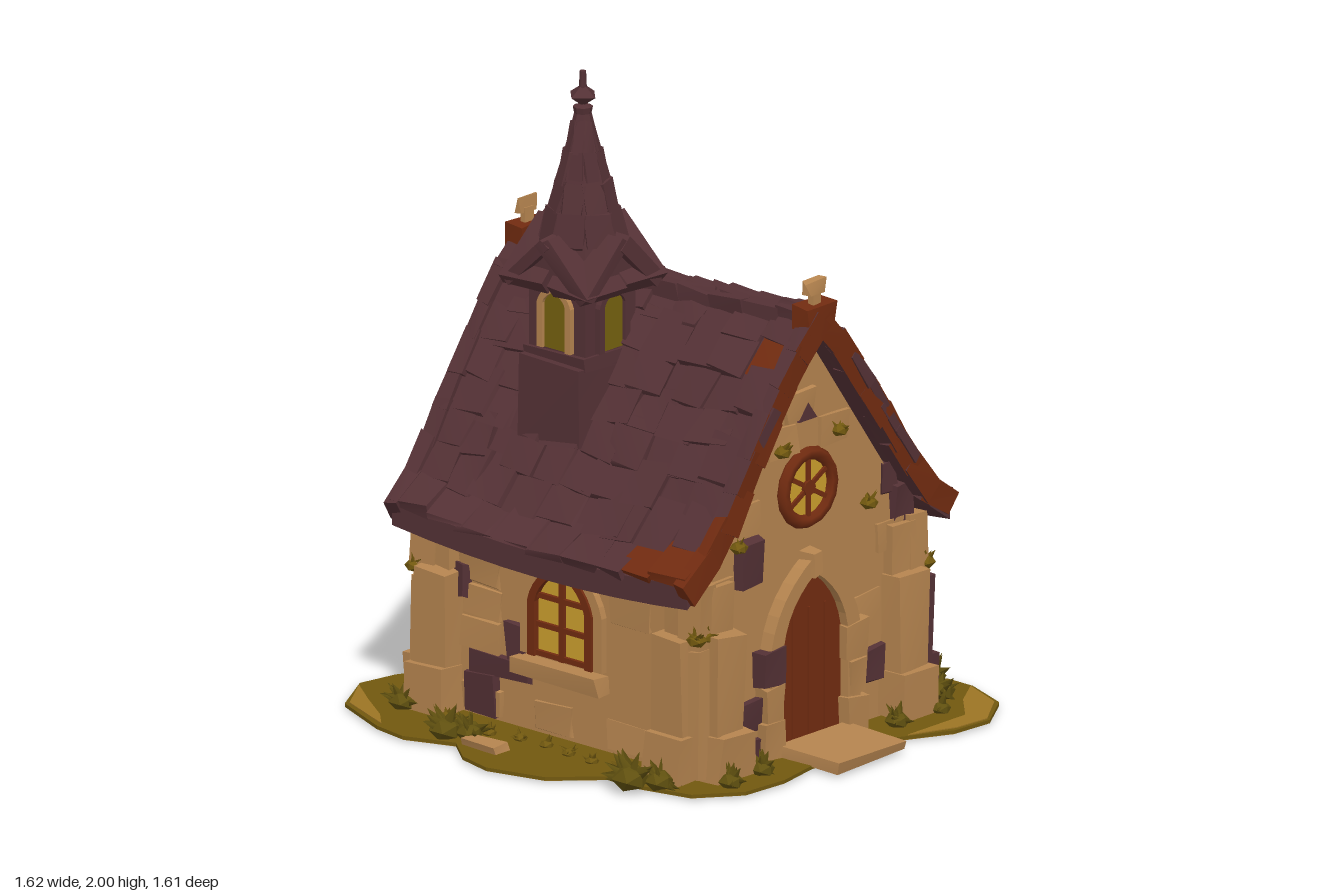
import * as THREE from 'three';

const paint = (name, color) => {
  const m = new THREE.MeshStandardMaterial({ color });
  m.name = name;
  return m;
};

export function createModel() {
  const stone = paint('tan stone', 0xb5844f), plum = paint('plum slate', 0x543135);
  const wood = paint('red brown wood', 0x712b10), glass = paint('amber glass', 0xcb9f2d);
  const grass = paint('olive grass', 0x71580f), leaf = paint('dark leaf', 0x60500f);
  const dry = paint('dry grass', 0x9c7424), dim = paint('dim glass', 0x75610f);
  const model = new THREE.Group();
  model.name = 'chapel';

  let seed = 7;
  const rnd = () => (seed = (seed * 16807) % 2147483647) / 2147483647;
  const vary = (a) => (rnd() - 0.5) * 2 * a;

  const add = (parent, name, geo, mat, x = 0, y = 0, z = 0) => {
    const m = new THREE.Mesh(geo, mat);
    m.name = name;
    m.position.set(x, y, z);
    parent.add(m);
    return m;
  };
  const group = (name, parent = model) => {
    const g = new THREE.Group();
    g.name = name;
    parent.add(g);
    return g;
  };
  // box whose eight corners are nudged, like hand-cut stone
  const rough = (w, h, d, j = 0.008) => {
    const geo = new THREE.BoxGeometry(w, h, d), p = geo.attributes.position;
    const off = Array.from({ length: 8 }, () => [vary(j), vary(j), vary(j)]);
    for (let i = 0; i < p.count; i++) {
      const o = off[(p.getX(i) > 0) + 2 * (p.getY(i) > 0) + 4 * (p.getZ(i) > 0)];
      p.setXYZ(i, p.getX(i) + o[0], p.getY(i) + o[1], p.getZ(i) + o[2]);
    }
    geo.computeVertexNormals();
    return geo;
  };
  const extrude = (shape, depth, steps = 1) =>
    new THREE.ExtrudeGeometry(shape, { depth, steps, bevelEnabled: false, curveSegments: 8 });
  const poly = (pts) => new THREE.Shape(pts.map((p) => new THREE.Vector2(p[0], p[1])));

  // pointed arch outlines
  const archPoints = (w, spring, h) => {
    const s = new THREE.Shape();
    s.moveTo(-w, 0);
    s.lineTo(-w, spring);
    s.quadraticCurveTo(-w * 0.85, spring + (h - spring) * 0.62, 0, h);
    s.quadraticCurveTo(w * 0.85, spring + (h - spring) * 0.62, w, spring);
    s.lineTo(w, 0);
    return s.getPoints(6);
  };
  const arch = (w, s, h) => new THREE.Shape(archPoints(w, s, h));
  const archBand = (w, s, h, t) =>
    new THREE.Shape([...archPoints(w + t, s, h + t), ...archPoints(w, s, h).reverse()]);

  // clump of broad pointed leaves
  const clump = (parent, name, x, y, z, r, n, mat = leaf) => {
    const g = group(name, parent);
    g.position.set(x, y, z);
    add(g, 'clumpCore', new THREE.IcosahedronGeometry(r * 0.65, 0), mat).scale.y = 0.7;
    for (let i = 0; i < n; i++) {
      const cone = new THREE.ConeGeometry(r * 0.36, r * 1.05, 4).scale(1, 1, 0.5).translate(0, r * 0.5, 0);
      add(g, 'leaf', cone, mat).rotation.set(vary(1.2), rnd() * 6, vary(1.2));
    }
  };

  // lawn
  const lawn = [[-.81, 0], [-.76, .19], [-.62, .33], [-.63, .45], [-.59, .62], [-.46, .72], [-.3, .73], [-.15, .7],
    [.2, .7], [.38, .79], [.52, .8], [.66, .71], [.72, .55], [.72, .45], [.6, .33], [.75, .19], [.81, 0], [.78, -.1],
    [.68, -.22], [.74, -.35], [.74, -.43], [.65, -.55], [.48, -.68], [.36, -.74], [.15, -.68], [-.06, -.62],
    [-.2, -.7], [-.35, -.78], [-.48, -.805], [-.65, -.71], [-.74, -.5], [-.76, -.38], [-.7, -.22], [-.78, -.12]];
  const flat = (pts, depth, k = 1) =>
    extrude(poly(pts.map(([x, z]) => [x * k, -z * k])), depth).rotateX(-Math.PI / 2);
  add(model, 'lawn', flat(lawn, 0.011), grass, 0, 0.004, 0);
  add(model, 'lawnUnderside', flat(lawn, 0.004, 0.995), dry, 0, 0.002, 0);
  const shade = lawn.map(([x, z], i) => [x * (i % 5 < 2 ? 0.58 : 0.74), z * (i % 5 < 2 ? 0.58 : 0.74)]);
  add(model, 'undersideCentre', flat(shade, 0.004), grass);
  for (const pts of [[[.25, .72], [.4, .78], [.52, .79], [.65, .7], [.71, .55], [.6, .62], [.5, .72]],
    [[-.72, -.5], [-.64, -.7], [-.5, -.79], [-.58, -.68], [-.66, -.56]],
    [[.72, .16], [.74, .18], [.8, 0], [.76, -.1], [.76, .02]]])
    add(model, 'dryGrassPatch', flat(pts, 0.005), dry, 0, 0.013, 0);
  add(model, 'doorstep', rough(0.3, 0.035, 0.24), stone, 0, 0.028, 0.68);
  for (const s of [-1, 1]) add(model, 'steppingStone', rough(0.06, 0.03, 0.14), stone, s * 0.675, 0.025, -0.13);

  // gabled hall
  const hall = poly([[-.46, .01], [.46, .01], [.46, .64], [.4, .72], [0, 1.29], [-.4, .72], [-.46, .64]]);
  add(model, 'hallWalls', extrude(hall, 1.07), stone, 0, 0, -0.535);

  // roof: flared slope, sagging along the ridge
  const sag = (z) => 0.035 * (1 - (z / 0.6) ** 2);
  const slope = [[0, 1.36], [.1, 1.25], [.2, 1.11], [.3, .97], [.4, .82], [.49, .715], [.575, .655]];
  const under = slope.map(([x, y]) => [x, y - 0.075]);
  const flip = (a) => a.slice(1).reverse().map(([x, y]) => [-x, y]);
  const roofGeo = extrude(poly([...flip(slope), ...slope, ...under.slice(1).reverse(), under[0],
    ...flip(under).reverse()]), 1.18, 8).translate(0, 0, -0.59);
  const rp = roofGeo.attributes.position;
  for (let i = 0; i < rp.count; i++) rp.setY(i, rp.getY(i) - sag(rp.getZ(i)));
  roofGeo.computeVertexNormals();
  const roof = group('roof');
  add(roof, 'roofSlab', roofGeo, plum);
  const curve = new THREE.CatmullRomCurve3(slope.map(([x, y]) => new THREE.Vector3(x, y, 0)));
  const onSlope = (name, geo, mat, s, t, z, dy, tilt = 0) => {
    const p = curve.getPointAt(t), d = curve.getTangentAt(t);
    const m = add(roof, name, geo, mat, s * p.x, p.y + dy - sag(z), z);
    m.rotation.z = s * (Math.atan2(d.y, d.x) + tilt);
  };
  const faced = [plum, plum, plum, plum, wood, plum];
  for (const s of [-1, 1]) {
    for (let r = 0; r < 8; r++) for (let c = 0; c < 9; c++) {
      const z = Math.max(-0.52, Math.min(0.52, -0.53 + c * 0.1325 + vary(0.04)));
      const worn = s < 0 && ((r === 7 && c > 6) || (r === 1 && c === 8));
      onSlope('shingle', rough(0.15, 0.022, 0.14, 0.012), worn ? wood : plum, s, 0.06 + r * 0.124, z, 0.008, 0.07);
    }
    // bargeboards: timber faces in front, slate edges
    for (const end of [-1, 1]) for (let i = 0; i < 8; i++) {
      const solid = end > 0 ? (s < 0 && i > 5) : (s > 0 && i === 2);
      const mat = solid ? wood : end > 0 ? faced : plum;
      onSlope('bargeboard', rough(0.145, 0.075, 0.05, 0.007), mat, s, 0.06 + i * 0.124, end * 0.58, -0.02);
    }
    // slate lip above the front boards, half way down
    for (const i of s > 0 ? [2, 3, 4, 5] : [3])
      onSlope('slateLip', rough(0.14, 0.03, 0.05, 0.006), plum, s, 0.06 + i * 0.124, 0.583, 0.01);
  }
  for (let i = 0; i < 9; i++) {
    const z = -0.53 + i * 0.1325;
    add(roof, 'ridgeCap', rough(0.1, 0.05, 0.14), plum, 0, 1.355 - sag(z), z);
  }
  for (const s of [-1, 1]) {
    add(roof, 'ridgeEnd', rough(0.12, 0.08, 0.06), wood, 0, 1.35, s * 0.575);
    add(roof, 'finialStem', rough(0.035, 0.06, 0.018, 0.003), stone, 0, 1.405, s * 0.575);
    add(roof, 'finialHead', rough(0.08, 0.045, 0.018, 0.008), stone, 0, 1.44, s * 0.575);
  }

  // front and back gables share one layout, facing +z
  const makeGable = (name, front) => {
    const g = group(name);
    if (!front) g.rotation.y = Math.PI;
    add(g, 'door', extrude(arch(0.14, 0.34, 0.54), 0.02), wood, 0, 0.015, 0.53);
    for (const x of [-0.07, 0, 0.07]) add(g, 'doorBatten', new THREE.BoxGeometry(0.008, 0.42, 0.008), wood, x, 0.23, 0.551);
    add(g, 'doorArch', extrude(archBand(0.14, 0.34, 0.54, 0.055), 0.05), stone, 0, 0.012, 0.53);
    for (const s of [-1, 1]) for (let i = 0; i < 3; i++)
      add(g, 'jambStone', rough(i % 2 ? 0.065 : 0.09, 0.11, 0.06), front && s < 0 && i === 2 ? plum : stone, s * 0.18, 0.07 + i * 0.115, 0.555);
    add(g, 'keystone', rough(0.05, 0.07, 0.06), stone, 0, 0.58, 0.56);

    // rose window
    add(g, 'roseGlass', new THREE.CylinderGeometry(0.105, 0.105, 0.01, 20).rotateX(Math.PI / 2), glass, 0, 0.81, 0.54);
    add(g, 'roseRing', new THREE.TorusGeometry(0.106, 0.021, 6, 16), wood, 0, 0.81, 0.545);
    for (let i = 0; i < 3; i++)
      add(g, 'roseBar', new THREE.BoxGeometry(0.014, 0.21, 0.012), wood, 0, 0.81, 0.547).rotation.z = i * Math.PI / 3;
    add(g, 'roseHub', new THREE.CylinderGeometry(0.025, 0.025, 0.02, 8).rotateX(Math.PI / 2), wood, 0, 0.81, 0.547);
    add(g, 'gableVent', extrude(poly([[-.04, 0], [.04, 0], [0, .055]]), 0.009), plum, 0, 1.02, 0.54);

    // raised wall stones
    for (let y = 0.07; y < 1.15; y += 0.1) for (let x = -0.39; x < 0.4; x += 0.13) {
      const px = x + vary(0.03);
      const clear = Math.hypot(px, y - 0.81) > 0.19 && (Math.abs(px) > 0.26 || y > 0.66);
      if (clear && Math.abs(px) < (1.18 - y) * 0.68 && rnd() < 0.65)
        add(g, 'wallStone', rough(0.125, 0.09, 0.03), stone, px, y, 0.532);
    }
    const patches = [[-.28, .16, .15, .1], [.27, .19, .13, .1], [-.25, .64, .11, .13], [-.31, .78, .07, .1],
      [-.27, .06, .12, .06], [.41, .66, .08, .13], [.36, .75, .06, .1]];
    for (const [x, y, w, h] of patches.slice(front ? 0 : 5))
      add(g, 'slateStone', rough(w, h, 0.035, 0.012), plum, x, y, 0.538);
    const ivy = [[-.31, .7], [.26, .7], [.13, .96], [-.46, .46], [.47, .44], [-.12, .95]];
    for (const [x, y] of ivy.slice(front ? 0 : 3)) clump(g, 'ivy', x, y, 0.555, 0.045, 5, grass);
  };
  makeGable('frontGable', true);
  makeGable('backGable', false);

  // stepped buttresses, two at each corner
  for (const sx of [-1, 1]) for (const sz of [-1, 1]) {
    const g = group('cornerButtress');
    [[0.15, 0.14, 0.135], [0.125, 0.3, 0.11], [0.1, 0.15, 0.07]].reduce((y, [w, h, d], i) => {
      const side = sx < 0 || (sz < 0 && i === 2) ? stone : plum;
      add(g, 'endPier', rough(w, h, d), stone, sx * 0.4, y + h / 2, sz * (0.5 + d / 2));
      add(g, 'sidePier', rough(d, h, w), side, sx * (0.43 + d / 2), y + h / 2, sz * 0.475);
      return y + h;
    }, 0.018);
    const low = sx > 0 && sz > 0 ? plum : stone;
    add(g, 'cornerStone', rough(0.09, 0.4, 0.09, 0.01), low, sx * 0.465, 0.22, sz * 0.53);
    add(g, 'cornerStone', rough(0.09, 0.2, 0.09, 0.01), stone, sx * 0.46, 0.52, sz * 0.53);
  }

  // side walls with arched windows
  for (const s of [-1, 1]) {
    const g = group(s > 0 ? 'leftSide' : 'rightSide');
    g.rotation.y = s * Math.PI / 2;
    add(g, 'windowGlass', extrude(arch(0.105, 0.17, 0.29), 0.01), glass, 0, 0.26, 0.46);
    add(g, 'windowFrame', extrude(archBand(0.1, 0.17, 0.28, 0.028), 0.03), wood, 0, 0.26, 0.46);
    add(g, 'windowArch', extrude(archBand(0.128, 0.17, 0.308, 0.035), 0.022), stone, 0, 0.26, 0.46);
    add(g, 'windowMullion', new THREE.BoxGeometry(0.02, 0.28, 0.016), wood, 0, 0.4, 0.474);
    for (const y of [0.27, 0.36, 0.45]) add(g, 'windowBar', new THREE.BoxGeometry(0.2, 0.016, 0.016), wood, 0, y, 0.474);
    add(g, 'windowSill', rough(0.34, 0.05, 0.07), stone, 0, 0.225, 0.48);
    for (let y = 0.07; y < 0.6; y += 0.1) for (let x = -0.34; x < 0.36; x += 0.15)
      if ((Math.abs(x) > 0.22 || y < 0.17) && rnd() < 0.6)
        add(g, 'wallStone', rough(0.15, 0.09, 0.02), stone, x + vary(0.015), y, 0.46);
    for (const [x, y, w, h] of [[.25, .19, .24, .07], [.19, .27, .07, .13], [.32, .09, .12, .12], [.41, .42, .06, .1]])
      add(g, 'slateStone', rough(w, h, 0.03, 0.01), plum, x * s, y, 0.464);
    clump(g, 'ivy', -0.56 * s, 0.46, 0.5, 0.05, 6, grass);
    clump(g, 'ivy', 0.57 * s, 0.44, 0.5, 0.045, 6, grass);
  }

  // bell tower
  const tower = group('bellTower');
  tower.position.set(-0.21, 0, -0.16);
  const sides = [stone, plum, plum, plum, plum, stone];
  add(tower, 'towerFoot', rough(0.26, 0.24, 0.26, 0.012), sides, -0.02, 1.0, 0);
  add(tower, 'towerShaft', rough(0.22, 0.46, 0.22, 0.006), sides, 0, 1.18, 0);
  add(tower, 'towerLedge', rough(0.25, 0.04, 0.25), plum, 0, 1.13, 0);
  for (let i = 0; i < 4; i++) {
    const g = group('towerFace', tower);
    g.rotation.y = i * Math.PI / 2;
    add(g, 'belfryGlass', extrude(arch(0.045, 0.14, 0.18), 0.009), dim, 0, 1.16, 0.109);
    add(g, 'belfryTrim', extrude(archBand(0.045, 0.14, 0.18, 0.022), 0.02), i === 0 ? plum : stone, 0, 1.16, 0.109);
    add(g, 'gableFill', extrude(poly([[-.14, 0], [.14, 0], [0, .14]]), 0.14), plum, 0, 1.355, 0);
    for (const s of [-1, 1]) {
      const m = add(g, 'gableSlope', rough(0.225, 0.045, 0.17, 0.01), plum, s * 0.078, 1.43, 0.086);
      m.rotation.z = -s * 0.75;
    }
  }
  const spire = new THREE.LatheGeometry([[.135, 1.42], [.105, 1.56], [.08, 1.66], [.05, 1.77], [.026, 1.87], [.03, 1.89], [0, 1.9]]
    .map(([r, y]) => new THREE.Vector2(r, y)), 8).toNonIndexed();
  spire.computeVertexNormals();
  add(tower, 'spire', spire, plum);
  for (let r = 0; r < 4; r++) for (let i = 0; i < 8; i++) {
    const a = (i + 0.5) * Math.PI / 4, rad = 0.108 - r * 0.024;
    const m = add(tower, 'spireShingle', rough(rad * 0.8, 0.1, 0.012, 0.006), plum, Math.sin(a) * rad, 1.53 + r * 0.09, Math.cos(a) * rad);
    m.rotation.set(-0.24, a, 0, 'YXZ');
  }
  add(tower, 'spireKnob', new THREE.OctahedronGeometry(0.05).scale(1, 0.7, 1), plum, 0, 1.925, 0);
  add(tower, 'spireTip', new THREE.CylinderGeometry(0.01, 0.014, 0.09, 6), plum, 0, 1.955, 0);

  // bushes and grass tufts around the foot of the walls
  for (const [x, z, r] of [[-.66, .44, .09], [-.6, .5, .07], [-.68, -.28, .08], [-.64, -.22, .07], [.67, -.42, .07],
    [.6, -.5, .08], [.38, -.66, .06], [.45, -.65, .06], [.64, .45, .08], [.58, .55, .07], [-.3, .64, .06], [.3, .63, .06],
    [-.45, .65, .06], [.48, .64, .05], [-.56, -.56, .07], [-.2, -.6, .05], [.2, -.6, .05]])
    clump(model, 'bush', x, r * 0.5, z, r, 9);
  for (let i = 0; i < 16; i++) {
    const s = i % 2 ? 1 : -1;
    clump(model, 'grassTuft', s * (0.53 + rnd() * 0.06), 0.02, -0.4 + i * 0.05, 0.035, 5, grass);
  }
  return model;
}
